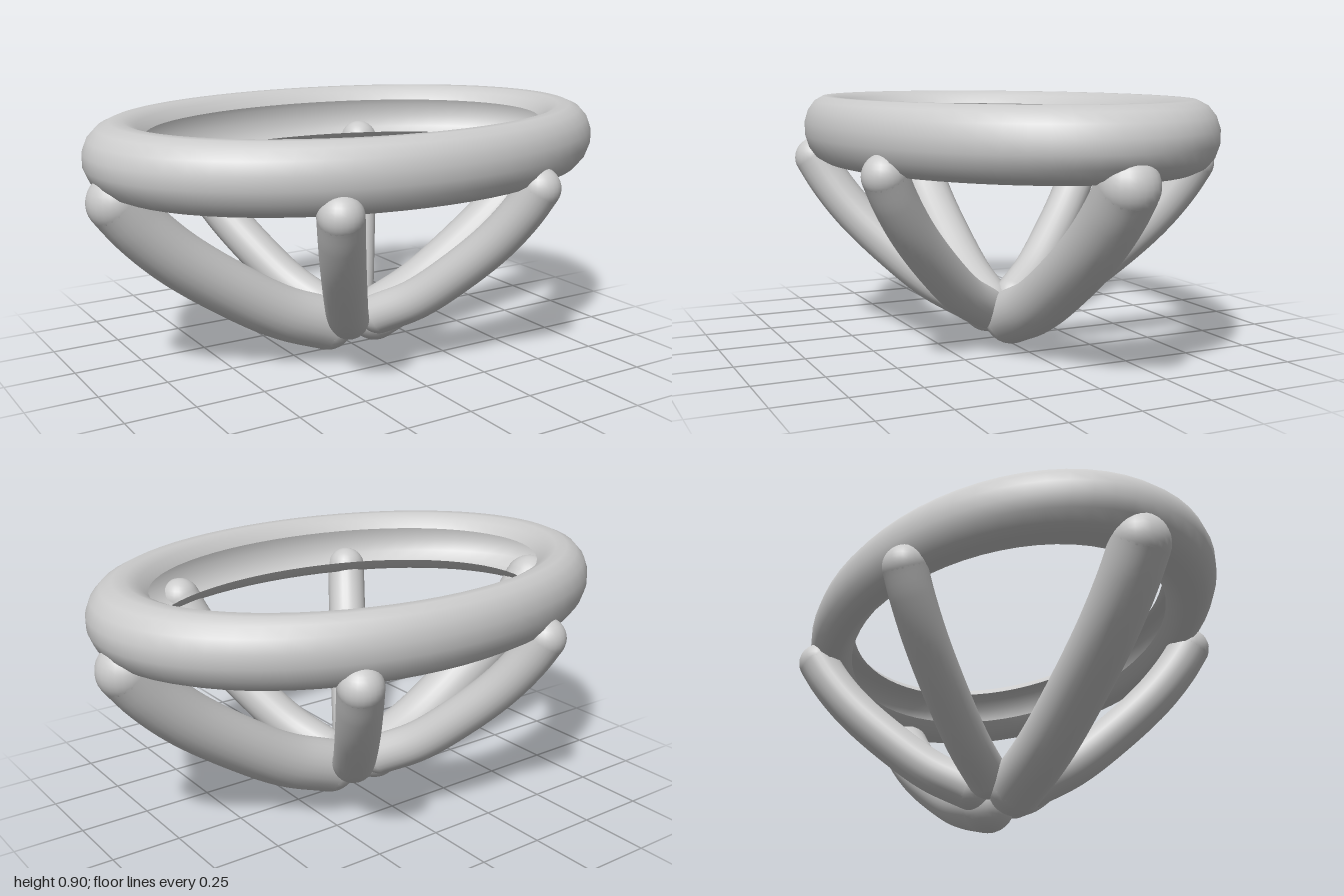
import * as THREE from 'three';

const material = new THREE.MeshStandardMaterial({ color: 0xcccccc });
const openMaterial = new THREE.MeshStandardMaterial({ color: 0xcccccc, side: THREE.DoubleSide });

// Bend of every spoke: fraction outward, fraction upward
const BEND = [[0, 0], [0.245, 0.14], [0.5, 0.36], [0.75, 0.62], [0.91, 0.84], [1, 1]];

// Curved round bar with domed ends
function createSpoke(name, start, end, radius) {
  const spoke = new THREE.Group();
  spoke.name = name;
  const points = BEND.map(([out, up]) => new THREE.Vector3(
    THREE.MathUtils.lerp(start.x, end.x, out),
    THREE.MathUtils.lerp(start.y, end.y, up),
    THREE.MathUtils.lerp(start.z, end.z, out)));
  const bar = new THREE.Mesh(
    new THREE.TubeGeometry(new THREE.CatmullRomCurve3(points), 32, radius, 24), material);
  bar.name = 'spokeBar';
  spoke.add(bar);
  for (const p of [start, end]) {
    const dome = new THREE.Mesh(new THREE.SphereGeometry(radius, 24, 16), material);
    dome.name = 'spokeEnd';
    dome.position.copy(p);
    spoke.add(dome);
  }
  return spoke;
}

// Hollow oval rim, its round section left open along the inside
function createRim() {
  const profile = [];
  const sides = 16, kept = 13;
  for (let i = 0; i <= kept; i++) {
    const a = (i - kept / 2) * 2 * Math.PI / sides;
    profile.push(new THREE.Vector2(0.865 + 0.121 * Math.cos(a), 0.121 * Math.sin(a)));
  }
  const rim = new THREE.Mesh(new THREE.LatheGeometry(profile, 64), openMaterial);
  rim.name = 'rim';
  rim.position.y = 0.785;
  rim.scale.z = 0.692;
  return rim;
}

export function createModel() {
  const model = new THREE.Group();
  model.name = 'ovalBasketFrame';
  model.add(createRim());

  for (const sx of [1, -1]) {
    const side = sx > 0 ? 'left' : 'right';
    // Thick spokes along the long axis
    model.add(createSpoke(side + 'Spoke',
      new THREE.Vector3(0.105 * sx, 0.1, 0), new THREE.Vector3(0.9 * sx, 0.66, 0), 0.1));
    // Thinner diagonal spokes
    for (const sz of [1, -1]) {
      model.add(createSpoke(side + (sz > 0 ? 'Front' : 'Back') + 'Spoke',
        new THREE.Vector3(0.066 * sx, 0.135, 0.09 * sz),
        new THREE.Vector3(0.395 * sx, 0.67, 0.585 * sz), 0.076));
    }
  }
  return model;
}
